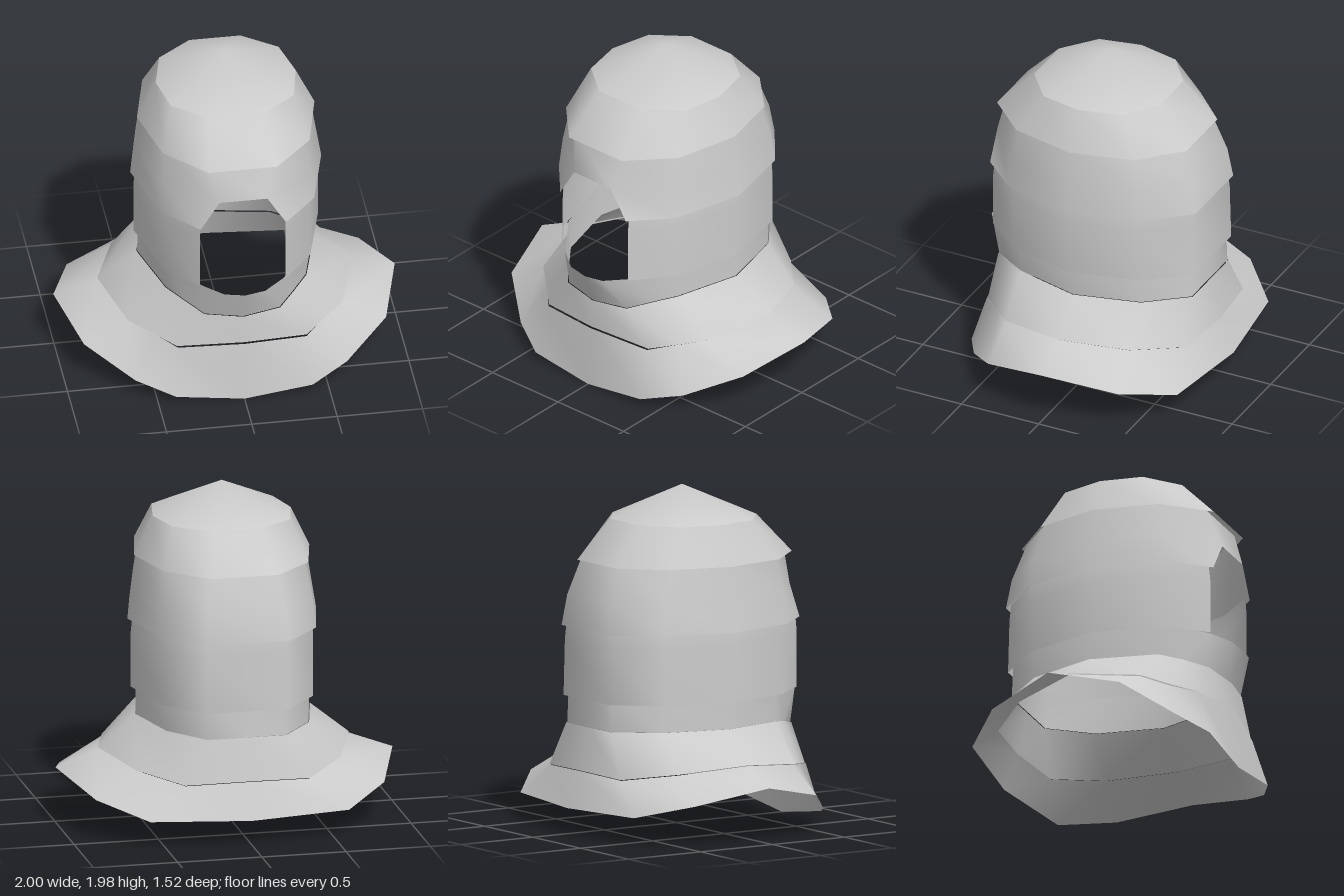
import * as THREE from 'three';

const material = new THREE.MeshStandardMaterial({ color: 0xcccccc, side: THREE.DoubleSide });

// Mirrors a half ring, listed front to back on the left (+x), into a whole ring.
function fullRing(half) {
  const mirrored = half.filter(p => p[0] > 0).map(([x, y, z]) => [-x, y, z]).reverse();
  return [...half, ...mirrored];
}

// Level half ring: plan points [x, z] at height y.
const level = (y, plan) => plan.map(([x, z]) => [x, y, z]);

// Joins rings, top to bottom, into a thin plate.
// Row strips from index openFrom onward leave the front unclosed.
function band(name, halfRings, openFrom = Infinity) {
  const rings = halfRings.map(fullRing);
  const n = rings[0].length;
  const index = [];
  for (let r = 0; r < rings.length - 1; r++) {
    const count = r >= openFrom ? n - 1 : n;
    for (let i = 0; i < count; i++) {
      const j = (i + 1) % n;
      const a = (r + 1) * n + i, b = (r + 1) * n + j;
      const c = r * n + j, d = r * n + i;
      index.push(a, b, d);
      // A ring shrunk to the apex needs only one triangle per side.
      if (rings[r][i].some((v, k) => v !== rings[r][j][k])) index.push(b, c, d);
    }
  }
  const geometry = new THREE.BufferGeometry();
  geometry.setAttribute('position', new THREE.Float32BufferAttribute(rings.flat(2), 3));
  geometry.setIndex(index);
  geometry.computeVertexNormals();
  const mesh = new THREE.Mesh(geometry, material);
  mesh.name = name;
  return mesh;
}

export function createModel() {
  const model = new THREE.Group();
  model.name = 'helmet';

  // Pointed skull cap; the apex is a ring of coincident points
  const apex = [[0.0, 1.98, 0.04]];
  const capMid = level(1.79, [[0.16, 0.45], [0.36, 0.29], [0.41, 0.04], [0.35, -0.21], [0.15, -0.36]]);
  const capRim = level(1.56, [[0.2, 0.67], [0.43, 0.43], [0.52, 0.04], [0.43, -0.33], [0.2, -0.555]]);
  const top = band('skullCap', [capMid, capRim]);
  model.add(top);
  const ring = fullRing(capMid);
  const crown = new THREE.BufferGeometry();
  crown.setAttribute('position', new THREE.Float32BufferAttribute([...apex, ...ring].flat(), 3));
  crown.setIndex(ring.flatMap((_, i) => [0, 1 + i, 1 + (i + 1) % ring.length]));
  crown.computeVertexNormals();
  const crownMesh = new THREE.Mesh(crown, material);
  crownMesh.name = 'skullCapPoint';
  model.add(crownMesh);

  // Brow plate, notched at the front for the face opening
  model.add(band('browPlate', [
    level(1.58, [[0.19, 0.62], [0.41, 0.41], [0.495, 0.04], [0.41, -0.31], [0.19, -0.53]]),
    level(1.36, [[0.14, 0.695], [0.43, 0.46], [0.53, 0.04], [0.44, -0.37], [0.23, -0.605]]),
    level(1.18, [[0.25, 0.69], [0.45, 0.47], [0.56, 0.04], [0.46, -0.39], [0.245, -0.635]]),
  ], 1));

  // Cheek plate, open at the front and tucked under the brow
  const cheek = [[0.25, 0.67], [0.43, 0.45], [0.54, 0.04], [0.445, -0.38], [0.24, -0.615]];
  model.add(band('cheekPlate', [
    level(1.2, cheek.map(([x, z], i) => [i ? x * 0.98 : x, z * 0.985])),
    level(1.1, cheek),
    level(0.77, cheek.map(([x, z]) => [x, z < 0 ? z * 1.015 : z])),
  ], 0));

  // Neck plate with a chin lip pushed forward
  const neckBase = [[0, 0.545, 0.685], [0.22, 0.56, 0.645], [0.32, 0.59, 0.53], [0.41, 0.61, 0.41],
    [0.515, 0.61, 0.02], [0.42, 0.61, -0.37], [0.23, 0.61, -0.605], [0, 0.61, -0.605]];
  model.add(band('neckPlate', [
    [[0, 0.74, 0.76], [0.12, 0.75, 0.745], [0.24, 0.77, 0.66], [0.41, 0.8, 0.43],
      [0.515, 0.83, 0.03], [0.42, 0.83, -0.36], [0.23, 0.83, -0.595], [0, 0.83, -0.595]],
    neckBase,
  ]));

  // Sloping collar
  const collarRim = [[0, 0.375, 0.705], [0.38, 0.345, 0.64], [0.5, 0.365, 0.52], [0.63, 0.39, 0.4],
    [0.745, 0.43, 0], [0.605, 0.39, -0.39], [0.37, 0.35, -0.635], [0, 0.365, -0.68]];
  model.add(band('collar', [
    neckBase.map(([x, y, z]) => [x * 1.01, y, z * 1.01]),
    collarRim,
  ]));

  // Wide flared skirt over the shoulders
  model.add(band('shoulderSkirt', [
    collarRim.map(([x, y, z]) => [x * 0.99, y - 0.005, z > 0.6 ? z * 1.015 : z * 0.99]),
    [[0, 0, 0.735], [0.4, 0.055, 0.735], [0.62, 0.11, 0.61], [0.885, 0.24, 0.385],
      [1, 0.33, -0.02], [0.855, 0.24, -0.44], [0.59, 0.16, -0.69], [0, 0.15, -0.76]],
  ]));

  return model;
}
